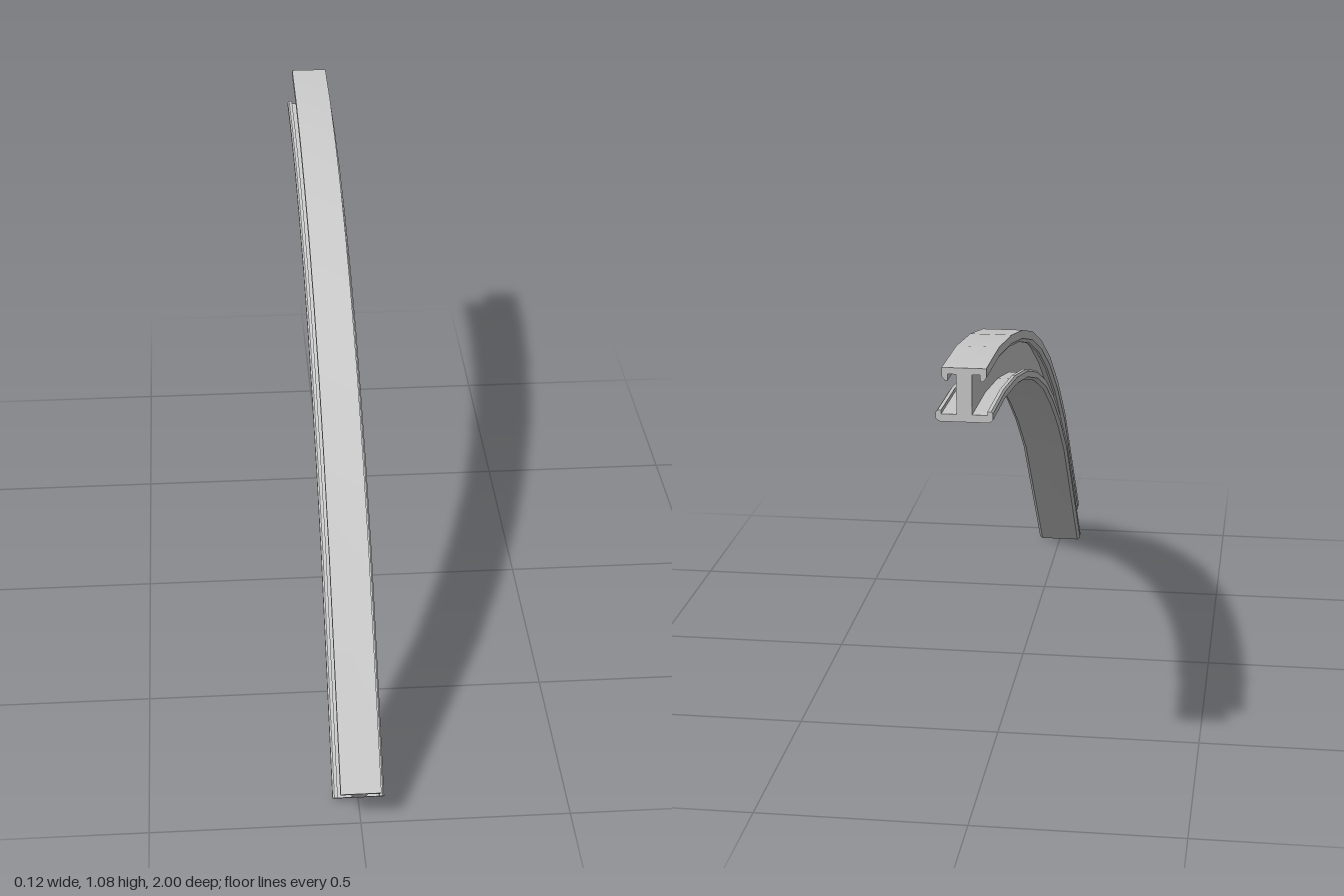
import * as THREE from 'three';
import { toCreasedNormals } from 'three/addons/utils/BufferGeometryUtils.js';

// Curve of the beam's upper and lower faces as [z, y], from the back end to the front end
const upper = [[-1, 1.08], [-0.797, 1.073], [-0.588, 1.046], [-0.385, 1.005], [-0.185, 0.949],
  [0.01, 0.873], [0.203, 0.777], [0.396, 0.654], [0.594, 0.5], [1, 0.09]];
const lower = [[-1, 0.96], [-0.805, 0.953], [-0.6, 0.928], [-0.4, 0.887], [-0.203, 0.828],
  [-0.01, 0.75], [0.16, 0.658], [0.325, 0.555], [0.5, 0.424], [0.91, 0]];

// Right half of the I-section, as [x, height fraction], from the bottom to the top
const half = [
  [0.054, 0], [0.062, 0.05], [0.062, 0.17], [0.058, 0.21], [0.05, 0.21], [0.05, 0.14], // lower flange, upturned lip
  [0.017, 0.14], [0.017, 0.88], // web
  [0.035, 0.88], [0.035, 0.76], [0.041, 0.76], [0.048, 0.83], [0.048, 1], // upper flange, downturned lip
];

export function createModel() {
  const group = new THREE.Group();
  group.name = 'curvedBeam';

  const outline = [...half, ...half.map(([x, h]) => [-x, h]).reverse()];
  const shape = new THREE.Shape(outline.map(([x, h]) => new THREE.Vector2(x, h)));
  const steps = upper.length - 1;
  const geometry = new THREE.ExtrudeGeometry(shape, { depth: steps, steps, bevelEnabled: false });

  // Bend the straight extrusion: each section spans the lower and upper curves
  const pos = geometry.attributes.position;
  for (let i = 0; i < pos.count; i++) {
    const k = Math.round(pos.getZ(i));
    const h = pos.getY(i);
    const [z, y] = [0, 1].map((a) => THREE.MathUtils.lerp(lower[k][a], upper[k][a], h));
    pos.setXYZ(i, pos.getX(i), y, z);
  }

  const beam = new THREE.Mesh(
    toCreasedNormals(geometry, 0.4),
    new THREE.MeshStandardMaterial({ color: 0xcccccc }),
  );
  beam.name = 'flangedBeam';
  group.add(beam);
  return group;
}
